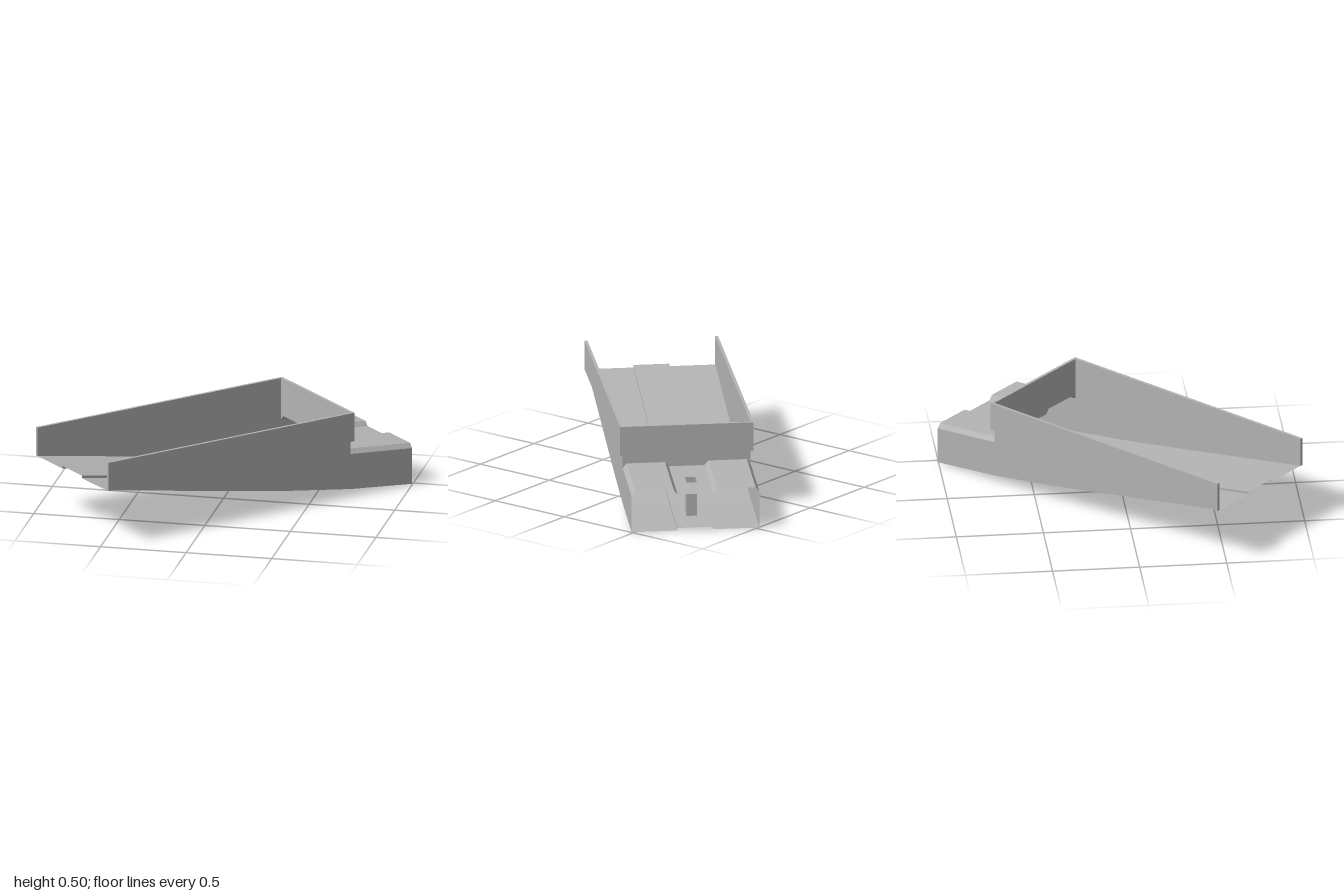
import * as THREE from 'three';

// Local frame: x runs along the chute (rear is +x), z runs across it.
const FRONT = -1.023, WALL = 0.63, REAR = 1.047, HALF = 0.368;
const HOLE = [0.797, 0.88], HOLE_HALF = 0.03, RAISE = 0.015;
const CURVE = [[FRONT, 0.334], [-0.19, 0.181], [0.235, 0.105], [WALL, 0.044], [REAR, 0]];

const floorY = (u) => {
  let i = 0;
  while (i < CURVE.length - 2 && u > CURVE[i + 1][0]) i++;
  const [a, b] = [CURVE[i], CURVE[i + 1]];
  return a[1] + (b[1] - a[1]) * (u - a[0]) / (b[0] - a[0]);
};
const roofY = (u) => 0.255 - 0.04 * (u - WALL) / (REAR - WALL);

// Mirrors half of a cross-section (ordered from the middle outward)
const mirrored = (half) => [...half.map(([w, y]) => [-w, y]).reverse(), ...half];
const floorProfile = mirrored([[HOLE_HALF, RAISE], [0.103, RAISE], [0.103, 0], [HALF, 0]]);
const roofProfile = mirrored([[HOLE_HALF, 0], [0.103, 0], [0.124, 0.026], [0.346, 0.026], [HALF, 0]]);

// Sweeps a cross-section along the stations, leaving the drain hole open
function sheet(stations, profile, baseY) {
  const pos = [];
  const mid = profile.length / 2 - 1;
  for (let i = 0; i < stations.length - 1; i++) {
    for (let j = 0; j < profile.length - 1; j++) {
      if (j === mid && stations[i] === HOLE[0]) continue;
      const p = (u, [w, dy]) => [u, baseY(u) + dy, w];
      const a = p(stations[i], profile[j]), b = p(stations[i], profile[j + 1]);
      const c = p(stations[i + 1], profile[j + 1]), d = p(stations[i + 1], profile[j]);
      pos.push(...a, ...b, ...c, ...a, ...c, ...d);
    }
  }
  const g = new THREE.BufferGeometry();
  g.setAttribute('position', new THREE.Float32BufferAttribute(pos, 3));
  g.computeVertexNormals();
  return g;
}

const flat = (points) =>
  new THREE.ShapeGeometry(new THREE.Shape(points.map(([x, y]) => new THREE.Vector2(x, y))));

export function createModel() {
  const grey = new THREE.MeshStandardMaterial({ color: 0xb4b4b4, side: THREE.DoubleSide });
  grey.name = 'grey';
  const chute = new THREE.Group();
  chute.name = 'chute';
  const add = (name, geometry, x = 0, y = 0, z = 0) => {
    const mesh = new THREE.Mesh(geometry, grey);
    mesh.name = name;
    mesh.position.set(x, y, z);
    chute.add(mesh);
    return mesh;
  };

  // Curved floor with a raised middle strip, and the ribbed rear roof
  add('floor', sheet([...CURVE.slice(0, 4).map((p) => p[0]), ...HOLE, REAR], floorProfile, floorY));
  add('rearRoof', sheet([WALL, ...HOLE, REAR], roofProfile, roofY));

  // Lower side panels
  const side = [...CURVE, [REAR, roofY(REAR)], [WALL, roofY(WALL)], [WALL, 0.335]];
  for (const s of [-1, 1]) {
    add(s > 0 ? 'leftSidePanel' : 'rightSidePanel', flat(side), 0, 0, s * HALF);
  }

  // Panel closing the gap between the roof and the back wall
  const panel = add('backPanel',
    flat([...roofProfile.map(([w, dy]) => [w, roofY(WALL) + dy]), [HALF, 0.335], [-HALF, 0.335]]), WALL);
  panel.rotation.y = -Math.PI / 2;

  // Upper tray walls, open at the front
  const top = 0.505, low = 0.334, thick = 0.017, outer = 0.384, back = WALL + thick;
  for (const s of [-1, 1]) {
    add(s > 0 ? 'leftTrayWall' : 'rightTrayWall',
      new THREE.BoxGeometry(back - FRONT, top - low, thick),
      (back + FRONT) / 2, (top + low) / 2, s * (outer - thick / 2));
  }
  add('backTrayWall', new THREE.BoxGeometry(thick, top - low, 2 * (outer - thick)),
    WALL + thick / 2, (top + low) / 2, 0);

  // Square tube joining the roof hole to the floor hole
  const [h0, h1] = HOLE;
  const tubeSide = [h0, h1].map((u) => [u, floorY(u) + RAISE])
    .concat([[h1, roofY(h1)], [h0, roofY(h0)]]);
  for (const s of [-1, 1]) add('tubeSide', flat(tubeSide), 0, 0, s * HOLE_HALF);
  for (const u of HOLE) {
    const y0 = floorY(u) + RAISE, y1 = roofY(u);
    const end = add('tubeEnd', new THREE.PlaneGeometry(2 * HOLE_HALF, y1 - y0), u, (y0 + y1) / 2, 0);
    end.rotation.y = Math.PI / 2;
  }

  // Turn the chute diagonally
  chute.rotation.y = Math.PI / 4;
  chute.position.set(-0.004, 0, -0.004);
  const model = new THREE.Group();
  model.name = 'model';
  model.add(chute);
  return model;
}
